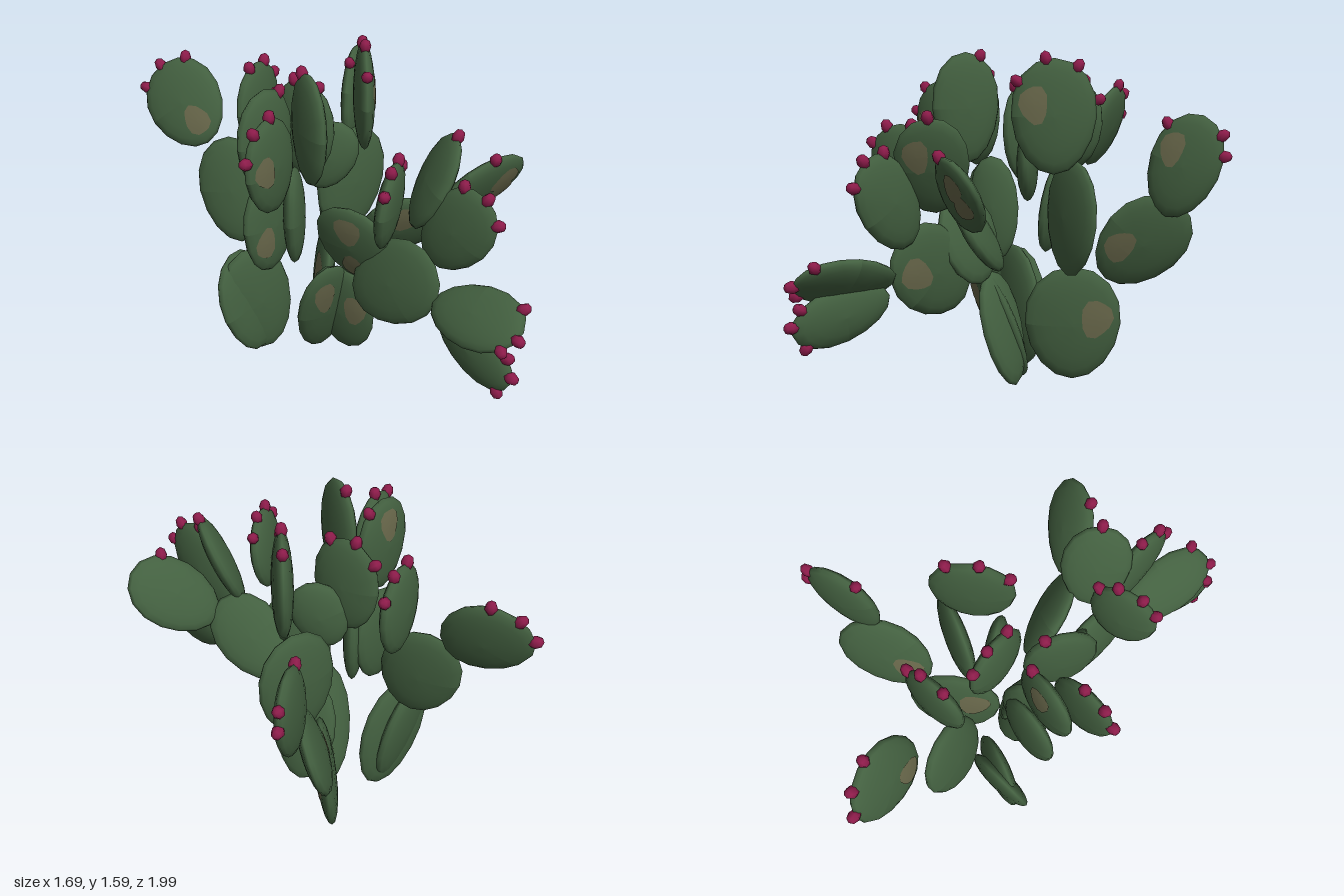
import * as THREE from 'three';

const mat = (name, color) => Object.assign(new THREE.MeshStandardMaterial({ color }), { name });
const PAD_GREEN = mat('pad green', 0x436040);
const SCAR_TAN = mat('scar tan', 0x69684b);
const FRUIT_RED = mat('fruit crimson', 0x8e1c4b);
const THICK = 0.05;
const rad = THREE.MathUtils.degToRad;

// point on an egg-shaped pad, from a point on the unit sphere
const onPad = (x, y, z, l, w) => new THREE.Vector3(x * w * (1 + 0.1 * y), y * l, z * THICK);

function padGeometry(l, w) {
  const g = new THREE.SphereGeometry(1, 16, 10).rotateX(Math.PI / 2);
  const p = g.attributes.position;
  for (let i = 0; i < p.count; i++) {
    const q = onPad(p.getX(i), p.getY(i), p.getZ(i), l, w);
    p.setXYZ(i, q.x, q.y, q.z);
  }
  g.computeVertexNormals();
  return g;
}

// thin irregular patch that follows the pad's bulge, halfway between centre and rim
function scarGeometry(l, w, angle) {
  const g = new THREE.RingGeometry(0.001, 0.33, 12, 3);
  const p = g.attributes.position;
  for (let i = 0; i < p.count; i++) {
    const x = p.getX(i), y = p.getY(i);
    const wobble = 1 + 0.1 * Math.sin(3 * Math.atan2(y, x) + angle);
    const u = 0.5 * Math.sin(angle) + x * wobble;
    const v = 0.5 * Math.cos(angle) + y * wobble;
    const q = onPad(u, v, Math.sqrt(Math.max(0, 1 - u * u - v * v)), l, w);
    p.setXYZ(i, q.x, q.y, q.z + 0.003);
  }
  g.computeVertexNormals();
  return g;
}

// small faceted bud, slightly longer than wide
const fruitGeometry = new THREE.SphereGeometry(1, 7, 4).scale(0.029, 0.037, 0.029);

// An upright pad facing +z is rolled in its own plane, pitched forward, then turned by yaw (degrees).
// Scars (front and back face) and rim fruits are given as angles from the tip.
function pad(name, centre, yaw, { roll = 0, pitch = 0, l = 0.24, w = 0.165, scars = [], backScars = [], fruits = [] } = {}) {
  const group = new THREE.Group();
  group.name = name;
  group.position.set(...centre);
  group.rotation.set(rad(pitch), rad(yaw), rad(roll), 'YXZ');
  const add = (geometry, material, label) => {
    const mesh = new THREE.Mesh(geometry, material);
    mesh.name = label;
    group.add(mesh);
    return mesh;
  };
  add(padGeometry(l, w), PAD_GREEN, 'pad');
  for (const s of scars) add(scarGeometry(l, w, rad(s)), SCAR_TAN, 'scar');
  for (const s of backScars) add(scarGeometry(l, w, rad(s)), SCAR_TAN, 'backScar').rotation.y = Math.PI;
  for (const f of fruits) {
    const t = rad(f);
    const fruit = add(fruitGeometry, FRUIT_RED, 'fruit');
    fruit.position.copy(onPad(Math.sin(t), Math.cos(t), 0, l, w));
    fruit.rotation.z = -t;
  }
  return group;
}

export function createModel() {
  const model = new THREE.Group();
  model.name = 'pricklyPear';

  // pads rising from the ground
  model.add(
    pad('rightBasePad', [-0.36, 0.3, -0.1], 25, { roll: 16, l: 0.305, w: 0.19 }),
    pad('crossedRightBasePad', [-0.41, 0.3, -0.09], 45, { roll: 13, pitch: -10, l: 0.285, w: 0.18 }),
    pad('frontBasePad', [-0.05, 0.3, 0.03], 25, { roll: 9, pitch: 21, l: 0.31, w: 0.15, scars: [-25] }),
    pad('crossedFrontBasePad', [0.05, 0.28, 0.02], -35, { pitch: 15, l: 0.28, w: 0.16, scars: [75] }),
    pad('backBasePad', [0.01, 0.285, -0.32], 83, { pitch: 6, l: 0.285, w: 0.23, scars: [75], backScars: [60] }),
  );

  // middle tier
  model.add(
    pad('rightMiddlePad', [-0.43, 0.81, -0.3], -30, { roll: 10, pitch: -10, l: 0.265, w: 0.19 }),
    pad('frontRightMiddlePad', [-0.31, 0.8, 0.05], 39, { l: 0.25, scars: [-125] }),
    pad('narrowMiddlePad', [-0.19, 0.82, 0.04], 72, { roll: 4, l: 0.255, w: 0.12 }),
    pad('backMiddlePad', [0.14, 0.82, -0.29], 24, { roll: -6, l: 0.28, w: 0.2 }),
    pad('farBackPad', [0.12, 0.7, -0.63], 84, { roll: -40, pitch: 17, l: 0.26, w: 0.2, scars: [-125], backScars: [150] }),
    pad('centreFrontPad', [0.07, 0.72, 0.18], -42, { pitch: 17, l: 0.22, w: 0.2, scars: [0, 180] }),
    pad('frontLeftPad', [0.22, 0.6, 0.36], 129, { roll: 53, pitch: 6, l: 0.27, w: 0.2, scars: [-40] }),
    pad('leftMiddlePad', [0.28, 0.78, 0.15], -13, { roll: -41, pitch: 27, scars: [-30] }),
    pad('innerPad', [0, 1.05, -0.1], -12, { roll: -21, l: 0.18, w: 0.13 }),
  );

  // upper tier on the model's right and centre
  model.add(
    pad('farRightPad', [-0.63, 1.17, -0.57], -30, { roll: 38, pitch: -18, l: 0.225, w: 0.2, scars: [165], fruits: [-40, -4, 33] }),
    pad('frontRightPad', [-0.33, 1.2, 0.28], 46, { roll: 8, l: 0.23, scars: [-80], fruits: [-65, -28, 11] }),
    pad('upperRightPad', [-0.33, 1.255, 0.12], 38, { backScars: [0], fruits: [33] }),
    pad('tallFrontPad', [-0.14, 1.31, 0.18], 104, { l: 0.265, fruits: [23] }),
    pad('backRightPad', [-0.3, 1.22, -0.36], 50, { l: 0.22, fruits: [-20, 21, 57] }),
    pad('centrePad', [-0.12, 1.2, -0.1], -41, { fruits: [-53, -15, 27] }),
    pad('tallBackPad', [0.185, 1.295, -0.2], 83, { l: 0.265, w: 0.195, scars: [-65], fruits: [-53, -10, 31] }),
    pad('rearPad', [0.25, 1.07, -0.79], 65, { roll: -20, l: 0.25, scars: [-60], fruits: [-52, 39, 64] }),
  );

  // upper tier on the model's left and front
  model.add(
    pad('farLeftPad', [0.63, 1, 0.25], 20, { roll: -49, pitch: 30, scars: [0, 60], fruits: [-55] }),
    pad('upperLeftPad', [0.39, 1.1, 0.36], 90, { roll: 5, pitch: 23, scars: [-50], fruits: [0] }),
    pad('leftFrontPad', [0.45, 0.95, 0.55], 133, { roll: 35, fruits: [-40, -2, 36] }),
    pad('upperFrontPad', [0.16, 1.065, 0.48], 63, { pitch: 7, l: 0.205, fruits: [-57, -23, 16, 50] }),
    pad('lowUpperTipPad', [0.5, 0.62, 0.74], -63, { roll: -79, pitch: -45, l: 0.255, w: 0.15, fruits: [-36, 15, 42] }),
    pad('lowLowerTipPad', [0.49, 0.47, 0.76], 118, { roll: 104, pitch: 6, w: 0.13, fruits: [-38, 12, 42] }),
  );
  return model;
}
